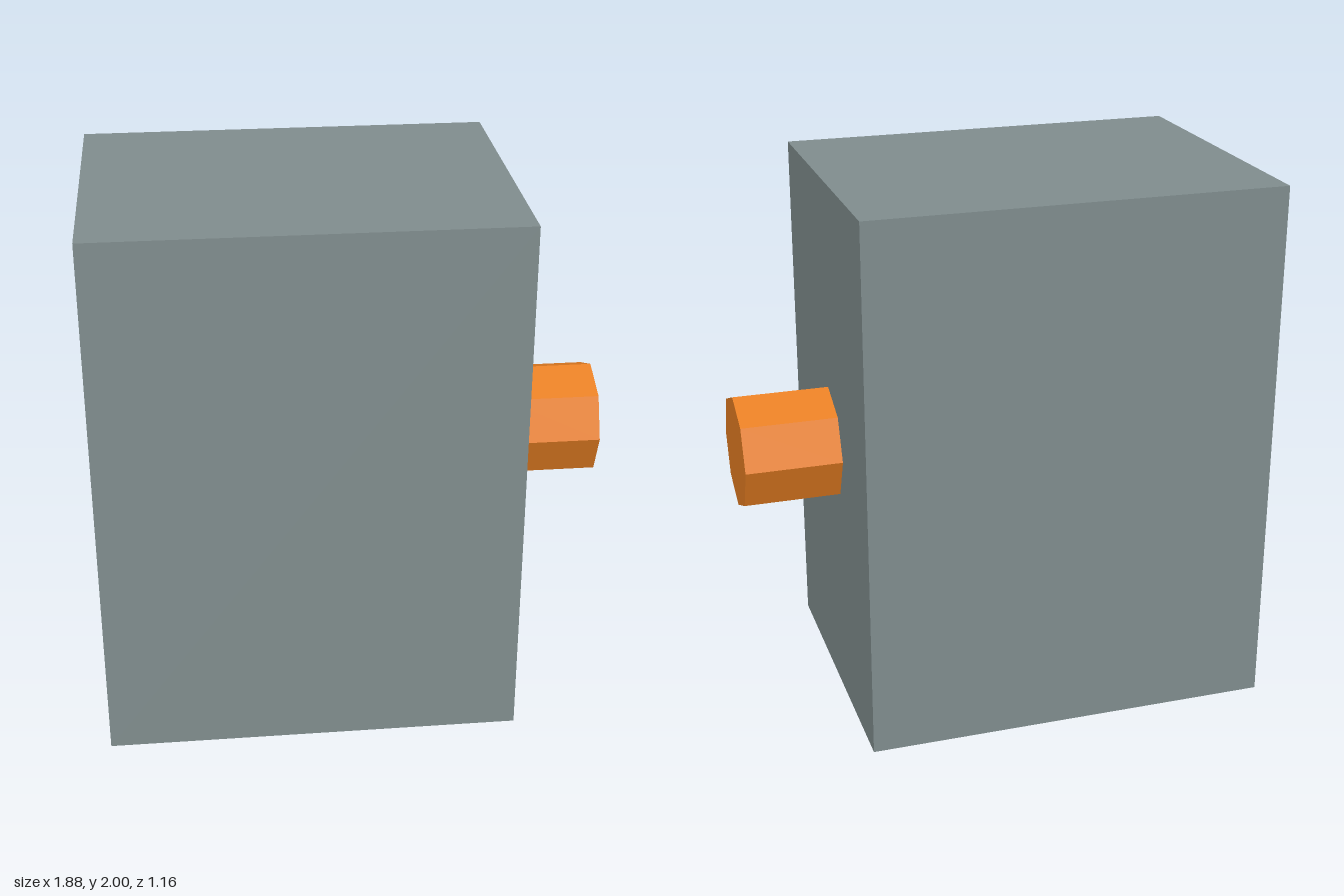
import * as THREE from 'three';

export function createModel() {
  const model = new THREE.Group();
  model.name = 'boxWithKnob';

  const add = (name, geometry, color, x) => {
    const material = new THREE.MeshStandardMaterial({ color, flatShading: true });
    const mesh = new THREE.Mesh(geometry, material);
    mesh.name = name;
    mesh.position.set(x, 1, 0);
    model.add(mesh);
  };

  const left = -0.94, side = 0.585, tip = 0.94;

  // Tall grey block
  add('body', new THREE.BoxGeometry(side - left, 2, 1.165), 0x7f8c8d, (left + side) / 2);

  // Eight-sided orange knob on the +x side, corners pointing up and sideways
  const knob = new THREE.CylinderGeometry(0.215, 0.215, tip - side, 8).rotateZ(-Math.PI / 2);
  add('knob', knob, 0xe67e22, (side + tip) / 2);

  return model;
}
